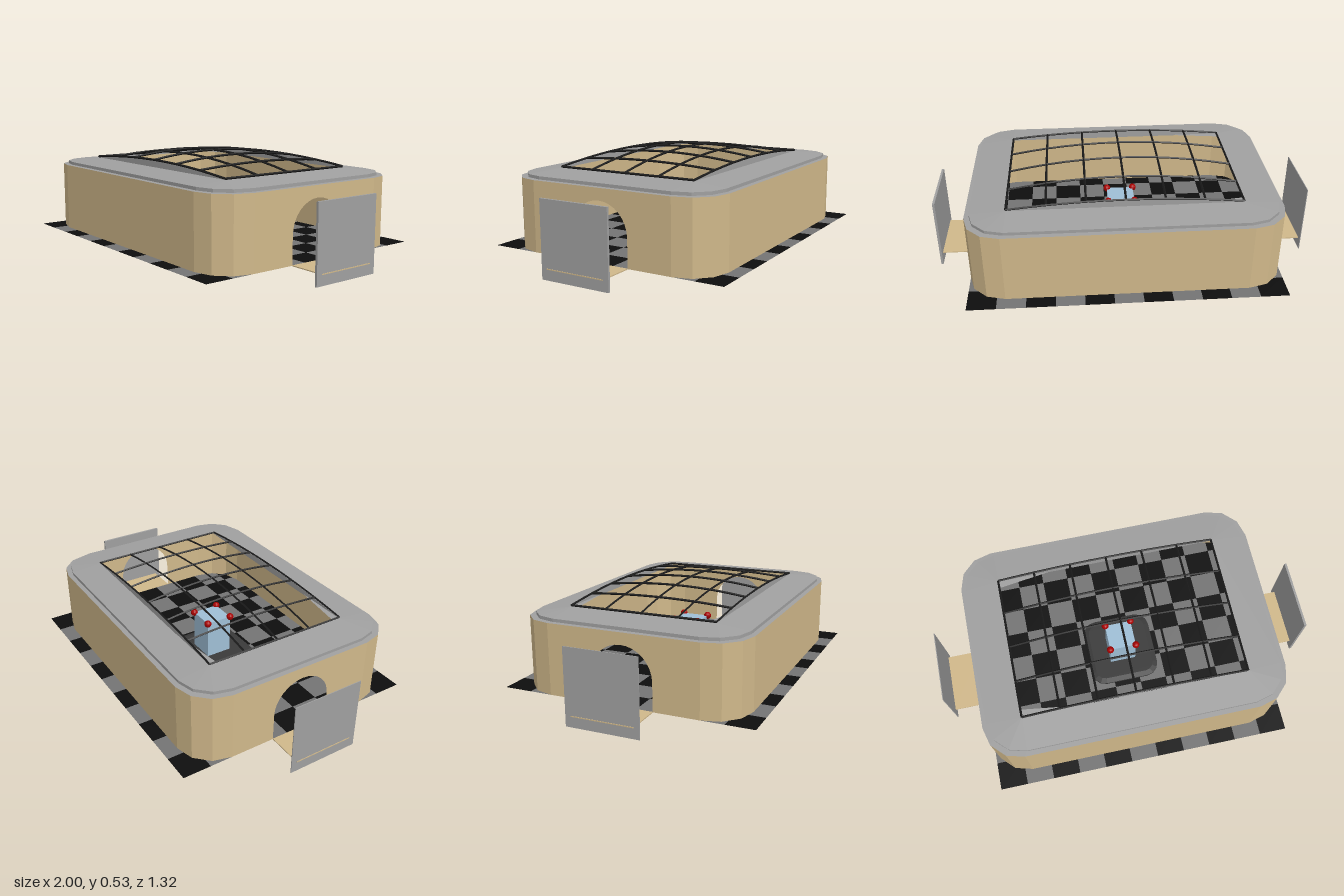
import * as THREE from 'three';
import { mergeGeometries } from 'three/addons/utils/BufferGeometryUtils.js';

const FLOOR = 0.055, WALL_TOP = 0.42;

function material(name, color, side = THREE.DoubleSide) {
  const m = new THREE.MeshStandardMaterial({ color, side, flatShading: true });
  m.name = name;
  return m;
}

// Rounded rectangle in x/z, four points per corner
function roundRect(hx, hz, r, y) {
  const pts = [];
  [[1, 1], [-1, 1], [-1, -1], [1, -1]].forEach(([sx, sz], c) => {
    for (let i = 0; i <= 3; i++) {
      const a = (c + i / 3) * Math.PI / 2;
      pts.push(new THREE.Vector3(sx * (hx - r) + r * Math.cos(a), y, sz * (hz - r) + r * Math.sin(a)));
    }
  });
  return pts;
}

// Joins closed rings with faces, leaving out the listed segments
function loft(rings, skip = []) {
  const out = [];
  for (let k = 0; k < rings.length - 1; k++) {
    const a = rings[k], b = rings[k + 1];
    for (let i = 0; i < a.length; i++) {
      if (skip.includes(i)) continue;
      const j = (i + 1) % a.length;
      out.push(a[i], b[i], a[j], a[j], b[i], b[j]);
    }
  }
  const g = new THREE.BufferGeometry().setFromPoints(out);
  g.computeVertexNormals();
  return g;
}

export function createModel() {
  const model = new THREE.Group();
  const tan = material('wall tan', 0xd0b88a);
  const grey = material('roof grey', 0xa0a0a0);
  const black = material('tile black', 0x0e0e0e);
  const tileGrey = material('tile grey', 0x747474);
  const iron = material('grid black', 0x1b1b1b);
  const dark = material('pad dark grey', 0x3a3a3a, THREE.FrontSide);
  const blue = material('pale blue', 0x9fbfd6, THREE.FrontSide);
  const red = material('red', 0xa80000, THREE.FrontSide);

  const add = (name, geo, mat, x = 0, y = 0, z = 0) => {
    const m = new THREE.Mesh(geo, mat);
    m.name = name;
    m.position.set(x, y, z);
    model.add(m);
    return m;
  };

  // Chequered floor, 11 by 9 tiles
  const tiles = [[], []], tw = 1.62 / 11, td = 1.32 / 9;
  for (let i = 0; i < 11; i++) for (let j = 0; j < 9; j++) {
    tiles[(i + j) % 2].push(new THREE.PlaneGeometry(tw, td).rotateX(-Math.PI / 2)
      .translate((i - 5) * tw, FLOOR, (j - 4) * td));
  }
  add('blackTiles', mergeGeometries(tiles[0]), black);
  add('greyTiles', mergeGeometries(tiles[1]), tileGrey);

  // Walls with rounded corners; the two ends are separate panels with arches
  add('walls', loft([roundRect(0.81, 0.585, 0.19, FLOOR), roundRect(0.81, 0.585, 0.19, WALL_TOP)], [7, 15]), tan);
  const end = new THREE.Shape();
  end.moveTo(-0.395, FLOOR);
  end.lineTo(-0.16, FLOOR);
  end.lineTo(-0.16, 0.2);
  end.absarc(0, 0.2, 0.16, Math.PI, 0, true);
  end.lineTo(0.16, FLOOR);
  end.lineTo(0.395, FLOOR);
  end.lineTo(0.395, WALL_TOP);
  end.lineTo(-0.395, WALL_TOP);
  end.closePath();

  for (const s of [1, -1]) {
    const side = s > 0 ? 'left' : 'right';
    add(side + 'ArchWall', new THREE.ShapeGeometry(end, 8).rotateY(s * Math.PI / 2), tan, s * 0.81);
    // Walkway and upright screen outside each arch
    add(side + 'Walkway', new THREE.BoxGeometry(0.19, 0.005, 0.32), tan, s * 0.905, FLOOR, 0);
    const t = s > 0 ? 0.012 : 0.004;
    add(side + 'Screen', new THREE.BoxGeometry(t, 0.385, 0.38), grey, s * (0.998 - t / 2), 0.1925, 0);
  }

  // Roof: ledge, lip and slope up to the rectangular opening
  add('roof', loft([
    roundRect(0.81, 0.585, 0.19, WALL_TOP),
    roundRect(0.785, 0.56, 0.18, WALL_TOP + 0.001),
    roundRect(0.785, 0.56, 0.18, 0.437),
    roundRect(0.6, 0.39, 0, 0.453),
  ]), grey);

  // Bowed skylight surface
  const bow = (x, z) => 0.459 + (1 - (x / 0.6) ** 2) * (0.033 + 0.03 * (1 - (z / 0.39) ** 2));

  // Curved upstands along the long edges of the opening
  const upstand = new THREE.Shape();
  upstand.moveTo(-0.6, 0.45);
  upstand.lineTo(0.6, 0.45);
  for (let i = 12; i >= 0; i--) {
    const x = -0.6 + i * 0.1;
    upstand.lineTo(x, bow(x, 0.39) - 0.005);
  }
  upstand.closePath();
  for (const s of [1, -1]) {
    add(s > 0 ? 'frontUpstand' : 'backUpstand', new THREE.ShapeGeometry(upstand), grey, 0, 0, s * 0.388);
    // Small gusset at the right-hand end of the opening
    const gusset = [[-0.6, 0.39], [-0.3, 0.39], [-0.6, 0.348]].map(([x, z]) => new THREE.Vector3(x, 0.453, s * z));
    if (s < 0) gusset.reverse();
    const g = new THREE.BufferGeometry().setFromPoints(gusset);
    g.computeVertexNormals();
    add('gusset', g, grey);
  }

  // Skylight grid bars following the bowed surface
  const bar = (f) => {
    const pts = [];
    for (let i = 0; i <= 8; i++) {
      const [x, z] = f(i / 4 - 1);
      pts.push(new THREE.Vector3(x, bow(x, z), z));
    }
    return new THREE.TubeGeometry(new THREE.CatmullRomCurve3(pts), 12, 0.006, 4);
  };
  const bars = [];
  for (let i = -3; i <= 3; i++) bars.push(bar((t) => [i * 0.2, t * 0.39]));
  for (let j = -2; j <= 2; j++) bars.push(bar((t) => [t * 0.6, j * 0.195]));
  add('skylightGrid', mergeGeometries(bars), iron);

  // Central pad set through the floor, with a column and four corner balls
  const padShape = new THREE.Shape(roundRect(0.165, 0.165, 0.05, 0).map((p) => new THREE.Vector2(p.x, p.z)));
  const pad = new THREE.ExtrudeGeometry(padShape, {
    depth: 0.035, bevelEnabled: true, bevelThickness: 0.008, bevelSize: 0.027, bevelSegments: 1,
  }).rotateX(-Math.PI / 2);
  add('centrePad', pad, dark, 0, 0.033, 0);
  add('column', new THREE.BoxGeometry(0.145, 0.22, 0.145), blue, 0, 0.18, 0);
  for (const sx of [1, -1]) for (const sz of [1, -1]) {
    add('cornerBall', new THREE.SphereGeometry(0.02, 10, 8), red, sx * 0.072, 0.29, sz * 0.072);
  }
  return model;
}
